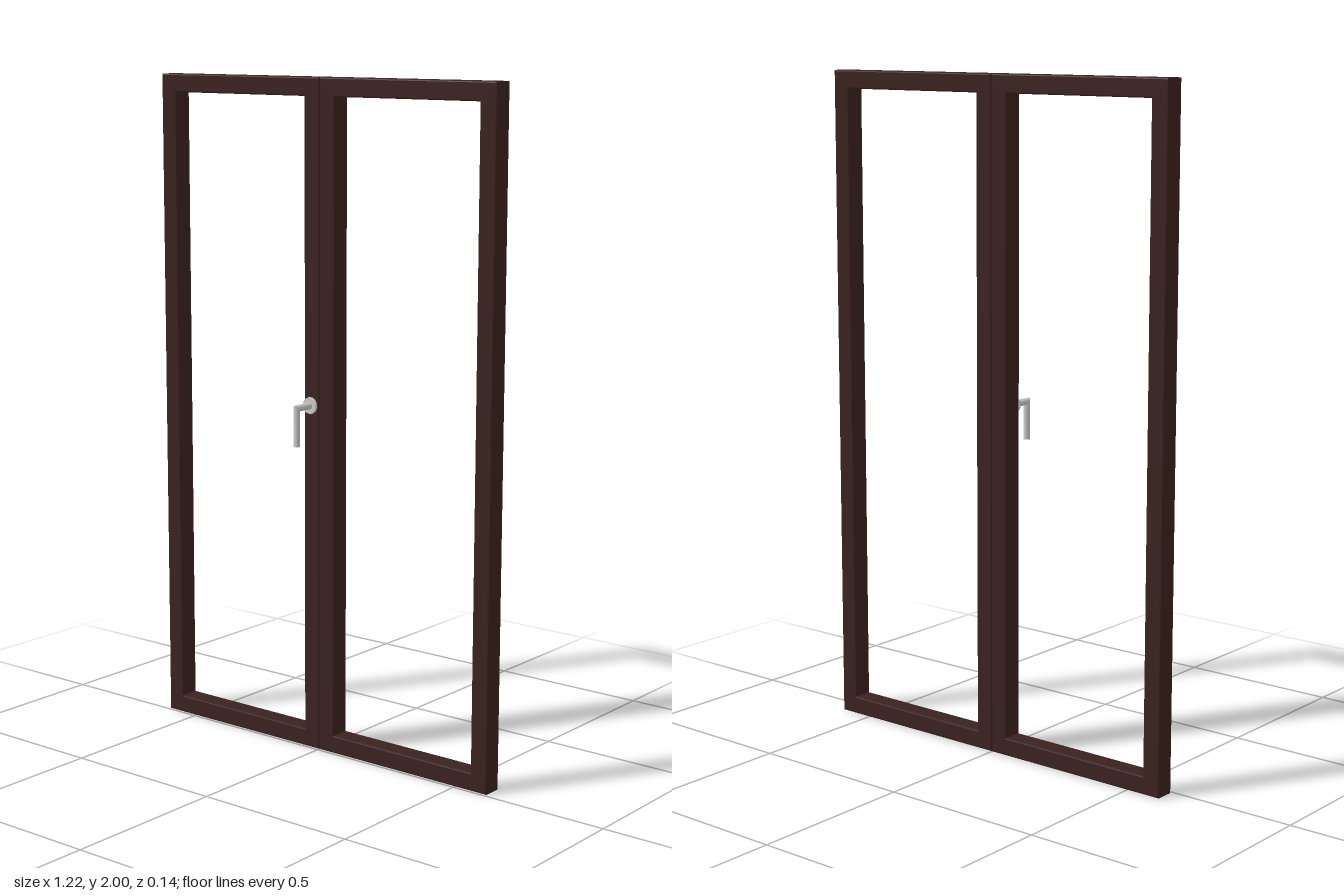
import * as THREE from 'three';

const WIDTH = 0.608, HEIGHT = 2, RAIL = 0.054, BACK = -0.068, FRONT = -0.006, BEVEL = 0.004;
const HANDLE_X = -0.031, HANDLE_Y = 1.05, LEVER_Z = 0.058, ROD = 0.01;

const wood = new THREE.MeshStandardMaterial({ color: 0x3a221f });
const metal = new THREE.MeshStandardMaterial({ color: 0xcccccc });

function named(name, geometry, material) {
  const mesh = new THREE.Mesh(geometry, material);
  mesh.name = name;
  return mesh;
}

function rectangle(path, x0, y0, x1, y1) {
  path.moveTo(x0, y0).lineTo(x1, y0).lineTo(x1, y1).lineTo(x0, y1).closePath();
  return path;
}

// One open sash: a rectangular ring with softened edges
function sashGeometry() {
  const shape = rectangle(new THREE.Shape(), 0, 0, WIDTH, HEIGHT);
  shape.holes.push(rectangle(new THREE.Path(), RAIL, RAIL, WIDTH - RAIL, HEIGHT - RAIL));
  const geometry = new THREE.ExtrudeGeometry(shape, {
    depth: FRONT - BACK - 2 * BEVEL,
    bevelThickness: BEVEL, bevelSize: BEVEL, bevelOffset: -BEVEL, bevelSegments: 2,
  });
  return geometry.translate(0, 0, BACK + BEVEL);
}

// Cylinder along y from y0 to y1, its top cut at 45 degrees for the mitred elbow
function mitredRod(y0, y1, slope) {
  const geometry = new THREE.CylinderGeometry(ROD, ROD, y1 - y0, 24).translate(0, (y0 + y1) / 2, 0);
  const p = geometry.attributes.position;
  for (let i = 0; i < p.count; i++) {
    if (p.getY(i) > y1 - 1e-5) p.setY(i, y1 + slope * p.getZ(i));
  }
  return geometry;
}

function createHandle() {
  const handle = new THREE.Group();
  handle.name = 'handle';
  handle.position.set(HANDLE_X, HANDLE_Y, 0);

  // Round plate against the sash
  const rosette = named('rosette', new THREE.CylinderGeometry(0.024, 0.025, 0.007, 40), metal);
  rosette.rotation.x = Math.PI / 2;
  rosette.position.z = -0.003;

  // Neck reaching forward, then the lever hanging down
  const neck = named('neck', mitredRod(-0.004, LEVER_Z, -1).rotateX(Math.PI / 2), metal);
  const lever = named('lever', mitredRod(-0.113, 0, 1), metal);
  lever.position.z = LEVER_Z;

  handle.add(rosette, neck, lever);
  return handle;
}

export function createModel() {
  const model = new THREE.Group();
  model.name = 'doubleWindow';
  const geometry = sashGeometry();

  // Two sashes meeting at a fine gap in the middle
  for (const [name, x] of [['rightSash', -WIDTH - 0.001], ['leftSash', 0.001]]) {
    const sash = named(name, geometry, wood);
    sash.position.x = x;
    model.add(sash);
  }
  model.add(createHandle());
  return model;
}
